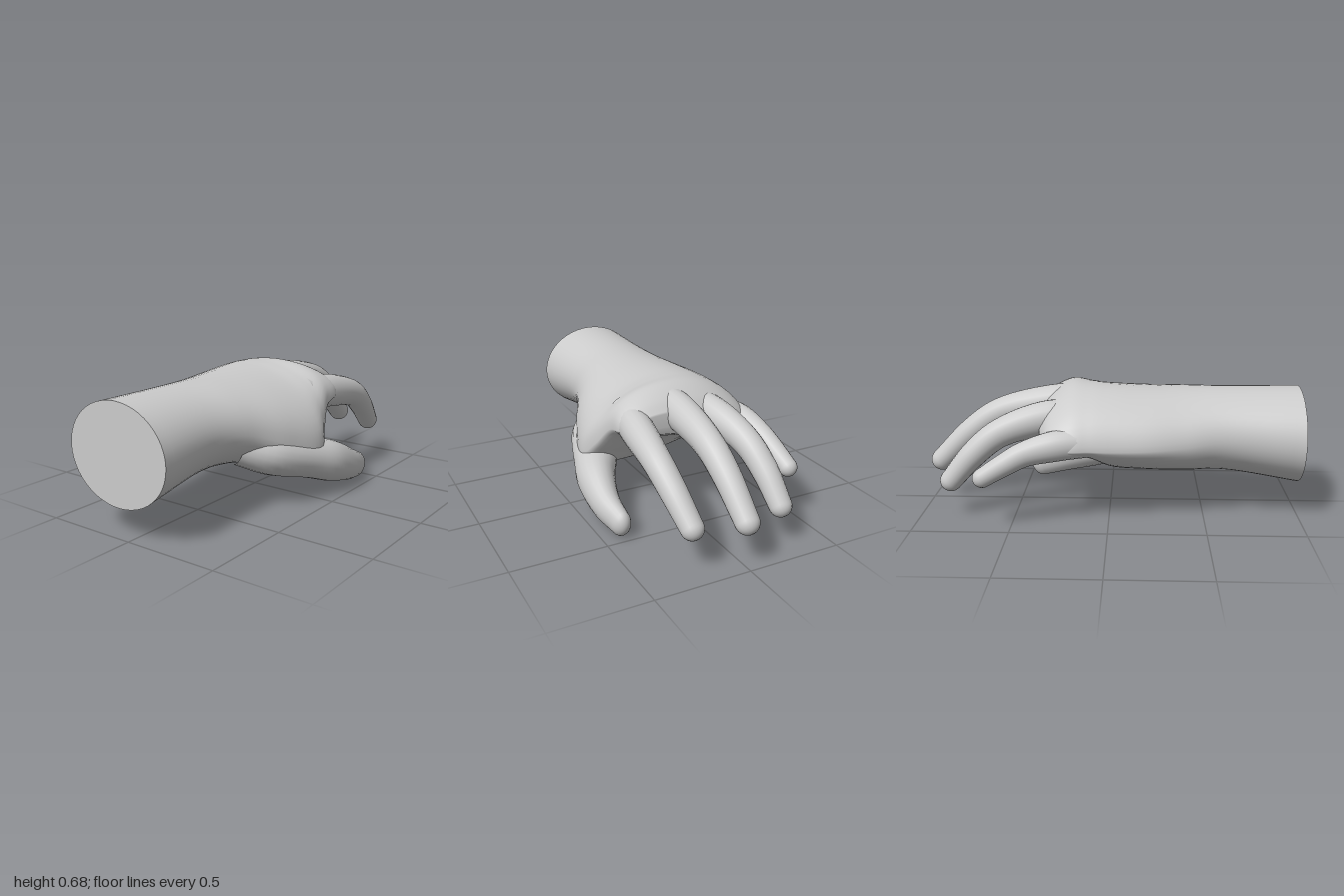
import * as THREE from 'three';

const grey = new THREE.MeshStandardMaterial({ color: 0xcccccc });
const SIDES = 48;

// Skin a list of closed rings (equal point counts) and close the far end
function skin(rings) {
  const n = rings[0].length, pos = [], index = [];
  rings.forEach(r => r.forEach(p => pos.push(p.x, p.y, p.z)));
  for (let j = 0; j < rings.length - 1; j++) {
    for (let i = 0; i < n; i++) {
      const k = (i + 1) % n, a = j * n, b = a + n;
      index.push(a + i, b + i, a + k, a + k, b + i, b + k);
    }
  }
  const last = rings[rings.length - 1], end = (rings.length - 1) * n;
  const mid = last.reduce((s, p) => s.add(p), new THREE.Vector3()).divideScalar(n);
  pos.push(mid.x, mid.y, mid.z);
  for (let i = 0; i < n; i++) index.push(end + i, end + n, end + (i + 1) % n);
  const geo = new THREE.BufferGeometry();
  geo.setAttribute('position', new THREE.Float32BufferAttribute(pos, 3));
  geo.setIndex(index);
  geo.computeVertexNormals();
  return geo;
}

function addMesh(group, name, geo) {
  const mesh = new THREE.Mesh(geo, grey);
  mesh.name = name;
  group.add(mesh);
}

// Point on a tilted oval; fullness below 1 squares the thumb side and slims the other
function ovalPoint(angle, { z, x: [x0, x1], edge: [y0, y1], top, bottom, full = 1 }) {
  const c = Math.cos(angle), s = Math.sin(angle);
  const middle = (y0 + y1) / 2, slope = (y1 - y0) / 2;
  const swell = Math.abs(s) ** (1 + (full - 1) * c / (Math.abs(c) + 0.15));
  const y = middle + slope * c + (s > 0 ? top - middle : bottom - middle) * swell;
  return new THREE.Vector3((x0 + x1) / 2 + (x1 - x0) / 2 * c, y, z);
}

// Forearm and palm ovals from the cut end to the knuckles
const ovals = [
  { z: 1, x: [-.35, .25], edge: [.415, .415], top: .67, bottom: .16 },
  { z: .6, x: [-.335, .235], edge: [.44, .44], top: .665, bottom: .225 },
  { z: .4, x: [-.37, .28], edge: [.42, .42], top: .665, bottom: .225, full: .95 },
  { z: .2, x: [-.41, .37], edge: [.41, .34], top: .667, bottom: .215, full: .85 },
  { z: 0, x: [-.43, .43], edge: [.41, .28], top: .673, bottom: .22, full: .8 },
  { z: -.1, x: [-.44, .385], edge: [.415, .37], top: .683, bottom: .3, full: .8 },
  { z: -.2, x: [-.45, .345], edge: [.415, .48], top: .682, bottom: .37, full: .85 },
  { z: -.3, x: [-.42, .335], edge: [.42, .505], top: .63, bottom: .42, full: .85 },
  { z: -.36, x: [-.28, .29], edge: [.46, .51], top: .575, bottom: .46, full: .9 },
];

function palmRings(steps) {
  const strands = Array.from({ length: SIDES }, (_, i) =>
    new THREE.CatmullRomCurve3(ovals.map(o => ovalPoint(i / SIDES * Math.PI * 2, o))));
  return Array.from({ length: steps + 1 }, (_, j) => strands.map(s => s.getPoint(j / steps)));
}

// A digit: elliptical rings along a curve, with [half width, half height] at each point
function digit(points, sizes, steps = 28, sides = 20) {
  const path = new THREE.CatmullRomCurve3(points.map(p => new THREE.Vector3(...p)));
  const size = new THREE.CatmullRomCurve3(sizes.map(s => new THREE.Vector3(s[0], s[1], 0)));
  const rings = [];
  const addRing = (centre, tangent, w, h) => {
    const side = new THREE.Vector3(1, 0, 0).addScaledVector(tangent, -tangent.x).normalize();
    const up = new THREE.Vector3().crossVectors(side, tangent);
    rings.push(Array.from({ length: sides }, (_, i) => {
      const a = i / sides * Math.PI * 2;
      return centre.clone().addScaledVector(side, w * Math.cos(a)).addScaledVector(up, h * Math.sin(a));
    }));
  };
  for (let j = 0; j <= steps; j++) {
    const s = size.getPoint(j / steps);
    addRing(path.getPoint(j / steps), path.getTangent(j / steps), s.x, s.y);
  }
  // rounded fingertip
  const tip = path.getPoint(1), dir = path.getTangent(1), s = size.getPoint(1);
  const reach = (s.x + s.y) / 2;
  for (let k = 1; k < 8; k++) {
    const a = k / 8 * Math.PI / 2;
    addRing(tip.clone().addScaledVector(dir, reach * Math.sin(a)), dir, s.x * Math.cos(a), s.y * Math.cos(a));
  }
  return skin(rings);
}

// All four fingers share one taper, scaled by thickness
function finger(thickness, points) {
  const widths = [.078, .086, .073, .068, .059];
  return digit(points, widths.map((w, i) => [w * thickness, w * thickness * (1.12 - i * .03)]));
}

export function createModel() {
  const hand = new THREE.Group();
  hand.name = 'hand';

  // forearm and palm
  const rings = palmRings(56);
  addMesh(hand, 'forearmAndPalm', skin(rings));

  // flat cut end of the forearm
  const cut = new THREE.ShapeGeometry(new THREE.Shape(rings[0].map(p => new THREE.Vector2(p.x, p.y))));
  cut.translate(0, 0, ovals[0].z);
  addMesh(hand, 'forearmEnd', cut);

  // fingers, knuckle to tip
  addMesh(hand, 'indexFinger', finger(.98,
    [[.23, .53, -.12], [.253, .512, -.32], [.275, .452, -.58], [.264, .36, -.72], [.24, .225, -.866]]));
  addMesh(hand, 'middleFinger', finger(1.02,
    [[.02, .58, -.12], [.01, .56, -.32], [.01, .502, -.6], [.002, .4, -.76], [-.008, .23, -.94]]));
  addMesh(hand, 'ringFinger', finger(.98,
    [[-.15, .52, -.12], [-.18, .522, -.32], [-.23, .45, -.57], [-.256, .34, -.71], [-.272, .2, -.832]]));
  addMesh(hand, 'littleFinger', finger(.84,
    [[-.36, .44, -.1], [-.392, .432, -.26], [-.418, .395, -.42], [-.435, .35, -.51], [-.456, .28, -.63]]));

  // thumb, from the heel of the palm to the tip
  addMesh(hand, 'thumb', digit(
    [[.16, .34, .38], [.255, .275, .2], [.345, .22, 0], [.395, .18, -.13], [.415, .118, -.3], [.4, .078, -.43]],
    [[.08, .09], [.135, .112], [.115, .108], [.1, .112], [.073, .09], [.052, .074]]));
  return hand;
}
